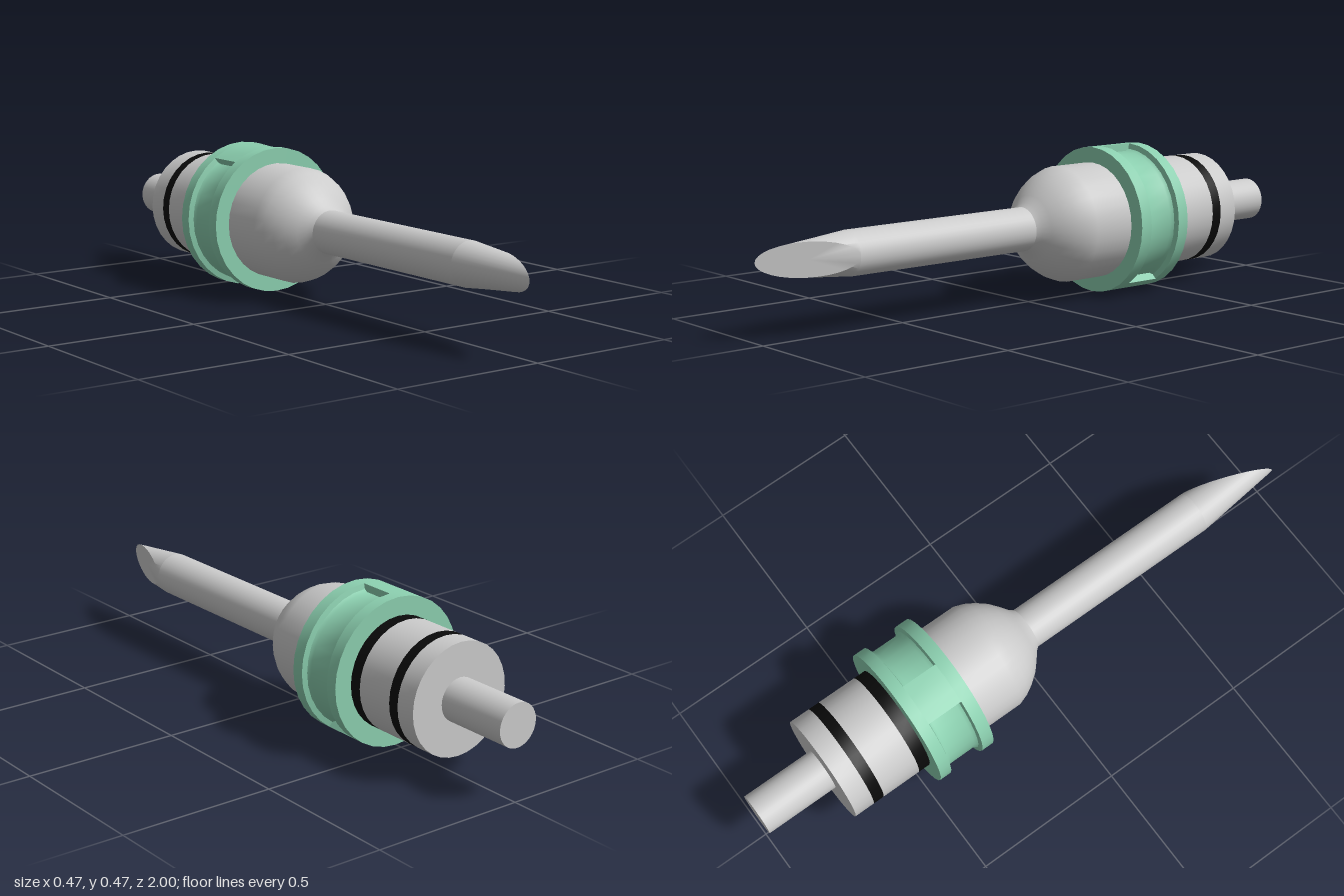
import * as THREE from 'three';
import { toCreasedNormals } from 'three/addons/utils/BufferGeometryUtils.js';

const SIDES = 32;
const CREASE = THREE.MathUtils.degToRad(35);

export function createModel() {
  const grey = new THREE.MeshStandardMaterial({ color: 0xcccccc });
  const green = new THREE.MeshStandardMaterial({ color: 0x8cd0b0 });
  const black = new THREE.MeshStandardMaterial({ color: 0x0a0a0a });

  const model = new THREE.Group();
  model.name = 'probe';
  const axis = new THREE.Group(); // everything is turned about this z axis
  axis.name = 'turnedParts';
  axis.position.y = 0.237;
  model.add(axis);

  const add = (name, geometry, material) => {
    const mesh = new THREE.Mesh(toCreasedNormals(geometry, CREASE), material);
    mesh.name = name;
    axis.add(mesh);
  };

  // Profile of [radius, z] pairs, from back to front
  const turned = (profile) =>
    new THREE.LatheGeometry(profile.map(([r, z]) => new THREE.Vector2(r, z)), SIDES).rotateX(Math.PI / 2);

  // Rounded shoulder flowing into the long rod
  add('shoulderAndRod', turned([
    [0.187, -0.3], [0.187, -0.13], [0.175, -0.095], [0.158, -0.065],
    [0.135, -0.035], [0.105, -0.008], [0.082, 0.01], [0.07, 0.025], [0.07, 0.7],
  ]), grey);

  // Tapering tip, cut off on a slant towards +x
  const tip = new THREE.CylinderGeometry(0.053, 0.07, 0.3, SIDES, 1).rotateX(Math.PI / 2).translate(0, 0, 0.85);
  const p = tip.attributes.position;
  for (let i = 0; i < p.count; i++) {
    if (p.getZ(i) < 0.9) continue;
    const x = p.getX(i) + 0.017;
    p.setX(i, x);
    p.setZ(i, 1 - ((x + 0.036) / 0.106) * 0.3);
  }
  add('slantedTip', tip, grey);

  // Collar: two flanges with a groove between them
  add('collar', turned([
    [0.17, -0.475], [0.237, -0.475], [0.237, -0.435], [0.22, -0.431], [0.213, -0.42],
    [0.213, -0.33], [0.22, -0.319], [0.237, -0.315], [0.237, -0.273], [0.18, -0.273],
  ]), green);

  // Two opposite ribs bridging the groove, flush with the flanges
  for (const [name, start] of [['topRib', 8], ['bottomRib', 24]]) {
    const at = (r, i) => new THREE.Vector2().setFromPolar?.(r, i) ??
      new THREE.Vector2(r * Math.cos((i * 2 * Math.PI) / SIDES), r * Math.sin((i * 2 * Math.PI) / SIDES));
    const steps = [0, 1, 2, 3].map((i) => start + i);
    const outline = [...steps.map((i) => at(0.237, i)), ...steps.reverse().map((i) => at(0.2, i))];
    const rib = new THREE.ExtrudeGeometry(new THREE.Shape(outline), { depth: 0.122, bevelEnabled: false });
    add(name, rib.translate(0, 0, -0.436), green);
  }

  // Rear drum with two dark sealing bands set flush into it
  const drum = 0.178;
  add('drumBack', turned([[0, -0.755], [drum, -0.755], [drum, -0.687]]), grey);
  add('rearBand', turned([[drum, -0.687], [drum, -0.65]]), black);
  add('drumMiddle', turned([[drum, -0.65], [drum, -0.516]]), grey);
  add('frontBand', turned([[drum, -0.516], [drum, -0.475]]), black);

  // Rear stem
  add('rearStem', turned([[0, -1], [0.069, -1], [0.069, -0.75]]), grey);

  return model;
}
